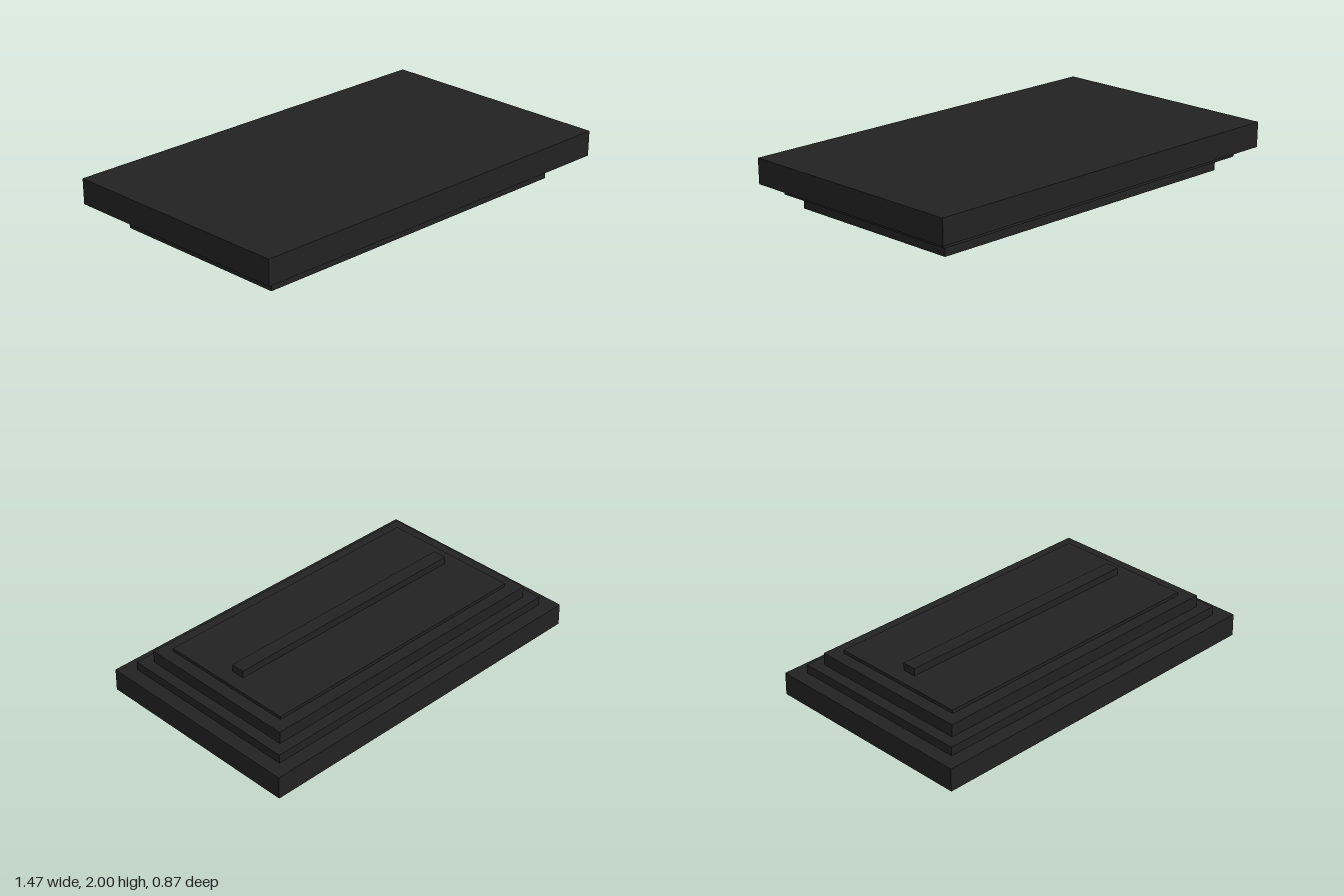
import * as THREE from 'three';

// Stacked tiers, outermost first: name, half width, half depth, bottom, top
const TIERS = [
  ['baseSlab', 0.733, 0.433, 0, 0.088],
  ['lowerStep', 0.677, 0.377, 0.088, 0.122],
  ['middleStep', 0.633, 0.333, 0.122, 0.17],
  ['innerPanel', 0.583, 0.283, 0.17, 0.183],
  ['centreRail', 0.524, 0.028, 0.183, 0.212],
];

export function createModel() {
  const model = new THREE.Group();
  model.name = 'steppedPlates';
  const material = new THREE.MeshStandardMaterial({ color: 0x222222 });

  // The upper plate mirrors the lower one about mid height
  for (const upper of [false, true]) {
    const plate = new THREE.Group();
    plate.name = upper ? 'upperPlate' : 'lowerPlate';
    for (const [name, halfWidth, halfDepth, bottom, top] of TIERS) {
      const tier = new THREE.Mesh(
        new THREE.BoxGeometry(2 * halfWidth, top - bottom, 2 * halfDepth), material);
      const y = (bottom + top) / 2;
      tier.position.y = upper ? 2 - y : y;
      tier.name = name;
      plate.add(tier);
    }
    model.add(plate);
  }
  return model;
}
